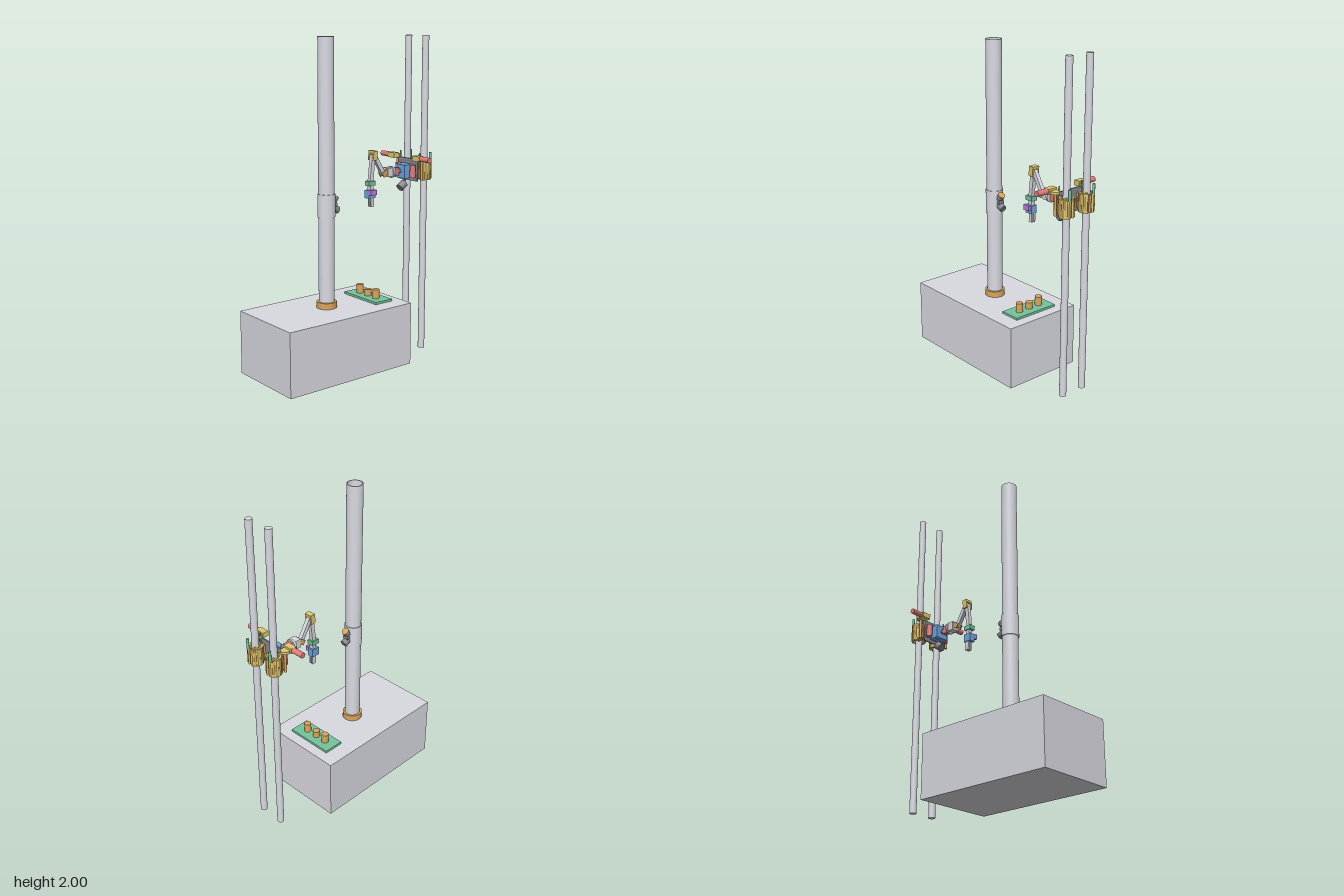
import * as THREE from 'three';

const paint = (name, color) => {
  const m = new THREE.MeshStandardMaterial({ color, side: THREE.DoubleSide });
  m.name = name;
  return m;
};
const steel = paint('steel', 0xd9dae1);
const dark = paint('darkSteel', 0x85878f);
const bronze = paint('bronze', 0xdaa55c);
const brass = paint('brass', 0xdfc86c);
const green = paint('green', 0x73c59c);
const red = paint('red', 0xe27b7c);
const blue = paint('blue', 0x6ea5dd);
const purple = paint('purple', 0xc27adf);

const add = (parent, name, geo, mat, x = 0, y = 0, z = 0) => {
  const m = new THREE.Mesh(geo, mat);
  m.name = name;
  m.position.set(x, y, z);
  parent.add(m);
  return m;
};

// Box given by its lower and upper corners
const box = (p, name, mat, a, b) => add(p, name,
  new THREE.BoxGeometry(b[0] - a[0], b[1] - a[1], b[2] - a[2]), mat,
  (a[0] + b[0]) / 2, (a[1] + b[1]) / 2, (a[2] + b[2]) / 2);

// Lay a y-aligned mesh between two points
const between = (m, a, b) => {
  const s = new THREE.Vector3(...a), e = new THREE.Vector3(...b);
  m.position.copy(s).add(e).multiplyScalar(0.5);
  m.quaternion.setFromUnitVectors(new THREE.Vector3(0, 1, 0), e.sub(s).normalize());
  return m;
};
const dist = (a, b) => Math.hypot(a[0] - b[0], a[1] - b[1], a[2] - b[2]);
const rod = (p, name, mat, a, b, r) =>
  between(add(p, name, new THREE.CylinderGeometry(r, r, dist(a, b), 32), mat), a, b);
const bar = (p, name, mat, a, b, w, d) =>
  between(add(p, name, new THREE.BoxGeometry(w, dist(a, b), d), mat), a, b);

// Upright hollow tube
const pipe = (p, name, mat, x, z, y0, y1, ro, ri) => {
  const s = new THREE.Shape().absarc(0, 0, ro, 0, Math.PI * 2);
  s.holes.push(new THREE.Path().absarc(0, 0, ri, 0, Math.PI * 2, true));
  const g = new THREE.ExtrudeGeometry(s, { depth: y1 - y0, bevelEnabled: false, curveSegments: 32 });
  g.rotateX(-Math.PI / 2);
  return add(p, name, g, mat, x, y0, z);
};

// Upright arc-shaped jaw
const jaw = (p, mat, x, z, y0, y1, ro, ri, a0, a1) => {
  const s = new THREE.Shape();
  s.absarc(0, 0, ro, a0, a1);
  s.absarc(0, 0, ri, a1, a0, true);
  const g = new THREE.ExtrudeGeometry(s, { depth: y1 - y0, bevelEnabled: false, curveSegments: 16 });
  g.rotateX(-Math.PI / 2);
  return add(p, 'clampJaw', g, mat, x, y0, z);
};

function base(root) {
  const g = new THREE.Group();
  g.name = 'base';
  box(g, 'pedestal', steel, [-0.61, 0, -0.257], [0.295, 0.39, 0.257]);
  pipe(g, 'mast', steel, -0.158, 0, 0.39, 2, 0.048, 0.042);
  pipe(g, 'mastCollar', bronze, -0.158, 0, 0.39, 0.428, 0.061, 0.047);
  pipe(g, 'mastSleeve', steel, -0.158, 0, 0.945, 1.085, 0.053, 0.047);
  // Tray with three pegs
  box(g, 'tray', green, [0.1, 0.39, -0.154], [0.23, 0.404, 0.154]);
  for (const [z, top] of [[-0.077, 0.46], [0, 0.445], [0.077, 0.46]])
    rod(g, 'peg', bronze, [0.165, 0.404, z], [0.165, top, z], 0.022);
  // Sensor head on the sleeve
  rod(g, 'sensorMount', dark, [-0.115, 1.015, 0], [-0.09, 1.015, 0], 0.02);
  rod(g, 'upperSensor', dark, [-0.11, 1.035, 0], [-0.091, 1.059, 0], 0.022);
  rod(g, 'upperSensorLens', bronze, [-0.091, 1.059, 0], [-0.088, 1.063, 0], 0.022);
  rod(g, 'lowerSensor', dark, [-0.112, 0.995, 0], [-0.074, 0.977, 0], 0.022);
  bar(g, 'sensorBracket', dark, [-0.098, 1.05, 0], [-0.098, 0.98, 0], 0.014, 0.018);
  root.add(g);
}

function climber(root) {
  const g = new THREE.Group();
  g.name = 'climber';
  box(g, 'controlBox', blue, [0.422, 1.12, -0.044], [0.488, 1.205, 0.044]);
  box(g, 'backPlate', dark, [0.488, 1.1, -0.088], [0.496, 1.24, 0.088]);
  for (const s of [1, -1]) {
    const px = 0.553, pz = s * 0.077;
    rod(g, 'guidePole', steel, [px, 0, pz], [px, 2, pz], 0.021);
    // Two jaws around the pole, with ribs and pinch rollers
    const dir = s > 0 ? 0 : Math.PI;
    jaw(g, brass, px, pz, 1.108, 1.222, 0.044, 0.031, 0.35 + dir, 2.6 + dir);
    jaw(g, brass, px, pz, 1.108, 1.222, 0.044, 0.031, 3.4 + dir, 6.0 + dir);
    for (let i = 0; i < 12; i++) {
      const a = (i + 0.5) * Math.PI / 6;
      const x = px + Math.cos(a) * 0.041, z = pz + Math.sin(a) * 0.041;
      rod(g, 'clampRib', i % 2 ? brass : bronze, [x, 1.112, z], [x, 1.218, z], 0.007);
    }
    for (let i = 0; i < 4; i++) {
      const a = Math.PI / 4 + i * Math.PI / 2;
      const x = px + Math.cos(a) * 0.027, z = pz + Math.sin(a) * 0.027;
      rod(g, 'roller', brass, [x, 1.105, z], [x, 1.225, z], 0.006);
    }
    box(g, 'clampBracket', bronze, [0.496, 1.12, pz - 0.02], [0.517, 1.21, pz + 0.02]);
    rod(g, 'hingePin', bronze, [0.502, 1.11, s * 0.113], [0.502, 1.24, s * 0.113], 0.008);
    rod(g, 'wormGear', brass, [0.502, 1.238, s * 0.113], [0.502, 1.254, s * 0.113], 0.026);
    // Drive motors
    rod(g, 'sideMotor', red, [0.466, 1.25, s * 0.145], [0.466, 1.25, s * 0.22], 0.0165);
    box(g, 'gearbox', brass, [0.446, 1.234, s * 0.115 - 0.03], [0.486, 1.266, s * 0.115 + 0.03]);
    rod(g, 'uprightMotor', red, [0.467, 1.125, s * 0.068], [0.467, 1.205, s * 0.068], 0.018);
    // Antennas
    rod(g, 'outerAntenna', green, [0.594, 1.21, s * 0.092], [0.594, 1.277, s * 0.092], 0.008);
    rod(g, 'innerAntenna', green, [0.505, 1.2, s * 0.088], [0.505, 1.277, s * 0.088], 0.005);
  }
  // Camera hung under the control box
  bar(g, 'cameraBracket', dark, [0.46, 1.125, 0], [0.455, 1.08, 0], 0.012, 0.02);
  rod(g, 'camera', dark, [0.46, 1.083, 0], [0.42, 1.056, 0], 0.025);
  root.add(g);
}

function arm(root) {
  const g = new THREE.Group();
  g.name = 'arm';
  // Shoulder
  rod(g, 'shoulderShaft', dark, [0.395, 1.165, 0], [0.424, 1.165, 0], 0.012);
  box(g, 'shoulderMotor', red, [0.352, 1.14, -0.016], [0.4, 1.19, 0.016]);
  rod(g, 'shoulderFlange', steel, [0.342, 1.165, 0], [0.355, 1.165, 0], 0.037);
  box(g, 'shoulderHousing', steel, [0.302, 1.14, -0.025], [0.343, 1.195, 0.025]);
  for (const s of [1, -1])
    bar(g, 'shoulderFork', bronze, [0.305, 1.175, s * 0.017], [0.268, 1.152, s * 0.017], 0.032, 0.007);
  // Links and elbow
  bar(g, 'upperLink', steel, [0.284, 1.155, 0], [0.205, 1.285, 0], 0.026, 0.024);
  for (const s of [1, -1])
    bar(g, 'elbowCheek', brass, [0.197, 1.252, s * 0.02], [0.203, 1.31, s * 0.02], 0.032, 0.01);
  bar(g, 'elbowBridge', brass, [0.202, 1.295, 0], [0.2035, 1.311, 0], 0.032, 0.046);
  bar(g, 'foreLink', steel, [0.199, 1.285, 0], [0.181, 1.12, 0], 0.026, 0.024);
  // Wrist and gripper
  box(g, 'wrist', green, [0.153, 1.098, -0.02], [0.205, 1.126, 0.02]);
  box(g, 'wristNeck', steel, [0.17, 1.065, -0.013], [0.196, 1.1, 0.013]);
  box(g, 'gripperBody', blue, [0.153, 1.02, -0.02], [0.205, 1.07, 0.02]);
  box(g, 'gripperSensor', purple, [0.153, 1.042, 0.02], [0.2, 1.074, 0.039]);
  for (const s of [1, -1])
    box(g, 'gripperFinger', steel, [0.174, 0.966, s * 0.009 - 0.005], [0.2, 1.022, s * 0.009 + 0.005]);
  root.add(g);
}

export function createModel() {
  const root = new THREE.Group();
  root.name = 'poleClimbingRobot';
  base(root);
  climber(root);
  arm(root);
  return root;
}
